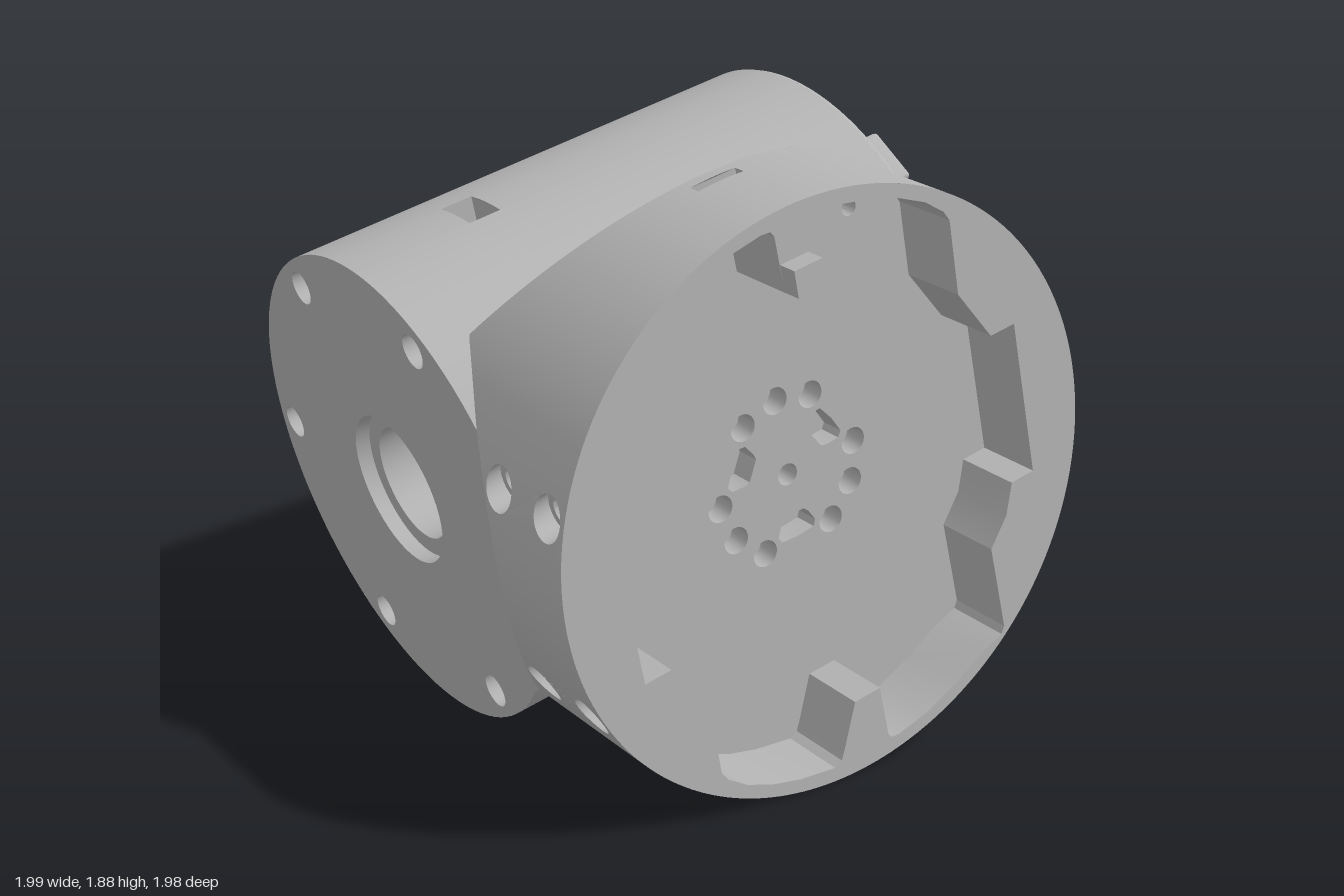
import * as THREE from 'three';
import { mergeGeometries, toCreasedNormals } from 'three/addons/utils/BufferGeometryUtils.js';
import { RoundedBoxGeometry } from 'three/addons/geometries/RoundedBoxGeometry.js';

const TILT = THREE.MathUtils.degToRad(12); // roll of the cross barrel
const R = 0.94, F = 0.925;                 // front housing radius and front plane
const RB = 0.78, ZB = -0.21, L = 0.83;     // barrel radius, axis depth, half length
const KV = 0.633, SLOPE = 0.945;           // where the slanted cuts begin, and their slope

const metal = new THREE.MeshStandardMaterial({ color: 0xb4b4b4, side: THREE.DoubleSide });
metal.name = 'grey metal';

function add(parent, name, geo) {
  const mesh = new THREE.Mesh(toCreasedNormals(geo, 0.5), metal);
  mesh.name = name;
  parent.add(mesh);
  return mesh;
}

function subGroup(parent, name, x = 0, y = 0, z = 0, ry = 0) {
  const g = new THREE.Group();
  g.name = name;
  g.position.set(x, y, z);
  g.rotation.y = ry;
  parent.add(g);
  return g;
}

// Triangles joining two rows of points
function ribbon(a, b, closed = false) {
  const p = [], n = a.length;
  for (let i = 0; i < (closed ? n : n - 1); i++) {
    const j = (i + 1) % n;
    p.push(...a[i], ...a[j], ...b[j], ...a[i], ...b[j], ...b[i]);
  }
  const g = new THREE.BufferGeometry();
  g.setAttribute('position', new THREE.Float32BufferAttribute(p, 3));
  return g;
}

// Sunken pocket: side walls and a floor, pushed along an offset
function pit(pts, off) {
  const low = pts.map(p => p.map((c, i) => c + off[i]));
  const mid = [0, 1, 2].map(i => low.reduce((s, p) => s + p[i], 0) / low.length);
  return mergeGeometries([ribbon(pts, low, true), ribbon(low, low.map(() => mid), true)]);
}

const circle = (x, y, r, n = 40) => Array.from({ length: n }, (_, i) => {
  const a = (i / n) * Math.PI * 2;
  return [x + r * Math.cos(a), y + r * Math.sin(a)];
});
const lift = (pts, z) => pts.map(([x, y]) => [x, y, z]);
const v2 = pts => pts.map(p => new THREE.Vector2(p[0], p[1]));

function plate(outline, holes = []) {
  const s = new THREE.Shape(v2(outline));
  holes.forEach(h => s.holes.push(new THREE.Path(v2(h))));
  return new THREE.ShapeGeometry(s);
}

function turned(profile, n = 40) { // lathe about z
  return new THREE.LatheGeometry(v2(profile), n).rotateX(Math.PI / 2);
}

// Counterbored hole opening at z = 0
const drill = (r1, d1, r2, d2, n = 32) =>
  turned([[0, -d2], [r2, -d2], [r2, -d1], [r1, -d1], [r1, 0]], n);

function remap(geo, fn) {
  const p = geo.attributes.position;
  for (let i = 0; i < p.count; i++) p.setXYZ(i, ...fn(p.getX(i), p.getY(i), p.getZ(i)));
  return geo;
}

// Rear edge of the front housing: slanted cut, or the saddle over the barrel
function back(t) {
  const v = Math.abs(R * Math.sin(t)), u = Math.abs(R * Math.cos(t));
  if (v >= KV) return 0.25 + (v - KV) * SLOPE;
  const r = RB + 0.15 * Math.max(0, u - L);
  return ZB + Math.sqrt(r * r - v * v);
}

function buildHousing(body) {
  const g = subGroup(body, 'frontHousing');
  const T = [0, Math.asin(0.24 / R), Math.asin(0.42 / R), Math.asin(KV / R), Math.acos(0.08 / R), Math.PI / 2];
  const shell = [], saddle = [];
  for (const sx of [1, -1]) for (const sy of [1, -1]) {
    const band = (t0, t1, lo, hi, n = 12) => {
      const row = f => Array.from({ length: n + 1 }, (_, i) => {
        const t = t0 + (t1 - t0) * i / n;
        return [sx * R * Math.cos(t), sy * R * Math.sin(t), f(t)];
      });
      const a = row(lo), b = row(hi);
      shell.push(sx * sy > 0 ? ribbon(a, b) : ribbon(b, a));
    };
    const front = () => F;
    band(T[0], T[1], back, front);
    band(T[2], T[3], back, front);
    band(T[3], T[4], back, front, 24);
    if (sy > 0) {
      band(T[4], T[5], back, () => 0.58, 3);
      band(T[4], T[5], () => 0.62, front, 3);
    } else band(T[4], T[5], back, front, 3);

    // Side panel with two counterbored bolt holes
    const edge = Array.from({ length: 9 }, (_, i) => 0.24 + 0.0225 * i).map(v => [v, back(Math.asin(v / R))]);
    const surf = v => Math.sqrt(R * R - v * v);
    const centres = [0.84, 0.59];
    const panel = plate([...edge, [0.42, F], [0.24, F]], centres.map(z => circle(0.33, z, 0.066, 32)));
    add(g, 'sidePanel', remap(panel, (x, y) => [sx * surf(x), sy * x, y]));
    for (const z0 of centres) {
      add(g, 'sideBoltHole', remap(drill(0.066, 0.12, 0.042, 0.3), (x, y, z) => {
        const v = 0.33 + x;
        return [sx * (z > -0.001 ? surf(v) : 0.95 + z), sy * v, z0 + y];
      }));
    }

    // Curved shoulder behind the side panels
    const inner = [], outer = [];
    for (let i = 0; i <= 16; i++) {
      const t = 0.488 * i / 16, v = R * Math.sin(t);
      inner.push([sx * 0.82, sy * v, ZB + Math.sqrt(0.775 ** 2 - v * v)]);
      outer.push([sx * R * Math.cos(t), sy * v, back(t)]);
    }
    saddle.push(sx * sy > 0 ? ribbon(inner, outer) : ribbon(outer, inner));
  }
  add(g, 'housingShell', mergeGeometries(shell));
  add(g, 'housingShoulder', mergeGeometries(saddle));
  const sv = Math.sqrt(R * R - 0.0064);
  add(g, 'topSlot', pit([[-0.08, sv, 0.58], [0.08, sv, 0.58], [0.08, sv, 0.62], [-0.08, sv, 0.62]], [0, -0.05, 0]));

  // Slanted cuts above and below; the upper one has two holes
  const cutZ = v => 0.25 + (v - KV) * SLOPE;
  const arc = Array.from({ length: 49 }, (_, i) => {
    const t = T[3] + (Math.PI - 2 * T[3]) * i / 48;
    return [R * Math.cos(t), R * Math.sin(t)];
  });
  const holes = [-0.37, 0.37].map(u => circle(u, 0.79, 0.06, 32));
  add(g, 'upperCut', remap(plate(arc, holes), (x, y) => [x, y, cutZ(y)]));
  add(g, 'lowerCut', remap(plate(arc), (x, y) => [x, -y, cutZ(y)]));
  for (const h of holes) {
    add(g, 'upperCutHole', ribbon(h.map(([x, y]) => [x, y, cutZ(y)]), lift(h, 0.6), true));
    add(g, 'upperCutHoleFloor', plate(h).translate(0, 0, 0.6));
  }

  // Front rim, pocket and mounting floor
  const face = subGroup(g, 'frontFace');
  face.rotation.z = -TILT;
  const half = [[-0.10, 0.69], [-0.065, 0.84], [-0.055, 0.875], [-0.03, 0.893], [0.1, 0.89], [0.2, 0.875], [0.3, 0.845],
    [0.37, 0.805], [0.395, 0.775], [0.44, 0.54], [0.575, 0.385], [0.665, 0.405], [0.775, -0.095], [0.69, -0.115],
    [0.675, -0.22], [0.62, -0.32], [0.69, -0.60], [0.68, -0.625], [0.6, -0.67], [0.5, -0.745], [0.38, -0.815],
    [0.28, -0.852], [0.25, -0.855], [0.235, -0.84], [0.195, -0.67]];
  const outline = [...half, ...half.map(([x, y]) => [-x, -y])];
  add(face, 'frontRim', plate(circle(0, 0, R, 128), [outline]).translate(0, 0, F));
  add(face, 'pocketWall', ribbon(lift(outline, F), lift(outline, 0.7), true));

  const polar = (deg, r) => [r * Math.cos(deg * Math.PI / 180), r * Math.sin(deg * Math.PI / 180)];
  const bores = [[0, 0, 0.035], [...polar(129, 0.82), 0.026], [...polar(75.5, 0.816), 0.026]];
  const keys = [];
  for (let k = 0; k < 3; k++) {
    for (const d of [72, 102, 132]) bores.push([...polar(d + 120 * k, 0.25), 0.043]);
    const [c, s] = polar(42 + 120 * k, 1);
    keys.push([[0.135, -0.035], [0.15, -0.05], [0.19, -0.07], [0.21, -0.06], [0.215, 0], [0.21, 0.06], [0.19, 0.07],
      [0.15, 0.05], [0.135, 0.035]].map(([r, w]) => [r * c - w * s, r * s + w * c]));
  }
  const floorHoles = [...bores.map(b => circle(...b, 24)), ...keys];
  add(face, 'pocketFloor', plate(outline, floorHoles).translate(0, 0, 0.7));
  floorHoles.forEach(h => add(face, 'floorHole', pit(lift(h, 0.7), [0, 0, -0.08])));
  const peg = add(face, 'locatingPeg', new THREE.BoxGeometry(0.1, 0.085, 0.08));
  peg.position.set(-0.156, 0.723, 0.95);
  peg.rotation.z = TILT;
}

function buildBarrel(body) {
  const g = subGroup(body, 'crossBarrel');
  // Wall, split around a small rectangular window on top
  const gap = Math.asin(0.085 / RB), top = Math.PI * 1.5;
  const wall = (u0, u1, start, len, n) => add(g, 'barrelWall',
    new THREE.CylinderGeometry(RB, RB, u1 - u0, n, 1, true, start, len)
      .rotateZ(-Math.PI / 2).translate((u0 + u1) / 2, 0, ZB));
  wall(-L, L - 0.02, top + gap, Math.PI * 2 - 2 * gap, 96);
  wall(-L, -0.43, top - gap, 2 * gap, 4);
  wall(-0.32, L - 0.02, top - gap, 2 * gap, 4);
  const y = RB * Math.cos(gap);
  add(g, 'topWindow', pit([[-0.43, y, ZB - 0.085], [-0.32, y, ZB - 0.085], [-0.32, y, ZB + 0.085], [-0.43, y, ZB + 0.085]],
    [0, -0.12, 0]));

  // Output flange: recess with key slot, eight bolt holes, two tabs
  const out = subGroup(g, 'outputFlange', L, 0, ZB, Math.PI / 2);
  const ring = (n, r, offset) => Array.from({ length: n }, (_, k) => {
    const a = offset + k * Math.PI * 2 / n;
    return [r * Math.cos(a), r * Math.sin(a)];
  });
  const bolts = ring(8, 0.56, Math.PI / 8);
  const a0 = Math.asin(0.04 / 0.395);
  const rim = Array.from({ length: 65 }, (_, i) => {
    const a = -Math.PI + a0 + (2 * Math.PI - 2 * a0) * i / 64;
    return [0.395 * Math.cos(a), 0.395 * Math.sin(a)];
  });
  const slotEnd = Array.from({ length: 13 }, (_, i) => {
    const a = Math.PI / 2 + Math.PI * i / 12;
    return [-0.68 + 0.04 * Math.cos(a), 0.04 * Math.sin(a)];
  });
  const contour = [...rim, ...slotEnd];
  add(out, 'flangeFace', plate(circle(0, 0, 0.76, 96), [contour, ...bolts.map(b => circle(...b, 0.07, 32))]));
  add(out, 'flangeLip', turned([[0.78, -0.02], [0.774, -0.006], [0.76, 0]], 96));
  add(out, 'recessEdge', ribbon(lift(contour, 0), lift(contour, -0.03), true));
  add(out, 'slotFloor', plate([...slotEnd, [-0.39, -0.04], [-0.39, 0.04]]).translate(0, 0, -0.03));
  add(out, 'recess', turned([[0, -0.1], [0.395, -0.1], [0.395, -0.03]], 64));
  bolts.forEach(([x, yy]) => add(out, 'flangeBoltHole', drill(0.07, 0.05, 0.045, 0.15)).position.set(x, yy, 0));
  for (const s of [1, -1]) {
    const tab = add(out, 'driveTab', new RoundedBoxGeometry(0.19, 0.075, 0.12, 2, 0.015));
    tab.position.set(-0.4, s * 0.54, 0.025);
    tab.rotation.z = Math.atan2(s * 0.54, -0.4) + Math.PI / 2;
  }

  // Closed end: stepped centre bore and six bolt holes
  const end = subGroup(g, 'rearCap', -L, 0, ZB, -Math.PI / 2);
  const capBolts = ring(6, 0.69, 0);
  add(end, 'capFace', plate(circle(0, 0, RB, 96), [circle(0, 0, 0.25, 48), ...capBolts.map(b => circle(...b, 0.055, 32))]));
  add(end, 'centreBore', drill(0.25, 0.05, 0.19, 0.4, 48));
  capBolts.forEach(([x, yy]) => add(end, 'capBoltHole', drill(0.055, 0.1, 0.035, 0.15)).position.set(x, yy, 0));
}

export function createModel() {
  const model = new THREE.Group();
  model.name = 'jointHousing';
  const body = subGroup(model, 'body', -0.025, 0.945, 0);
  body.rotation.z = TILT;
  buildHousing(body);
  buildBarrel(body);
  return model;
}
